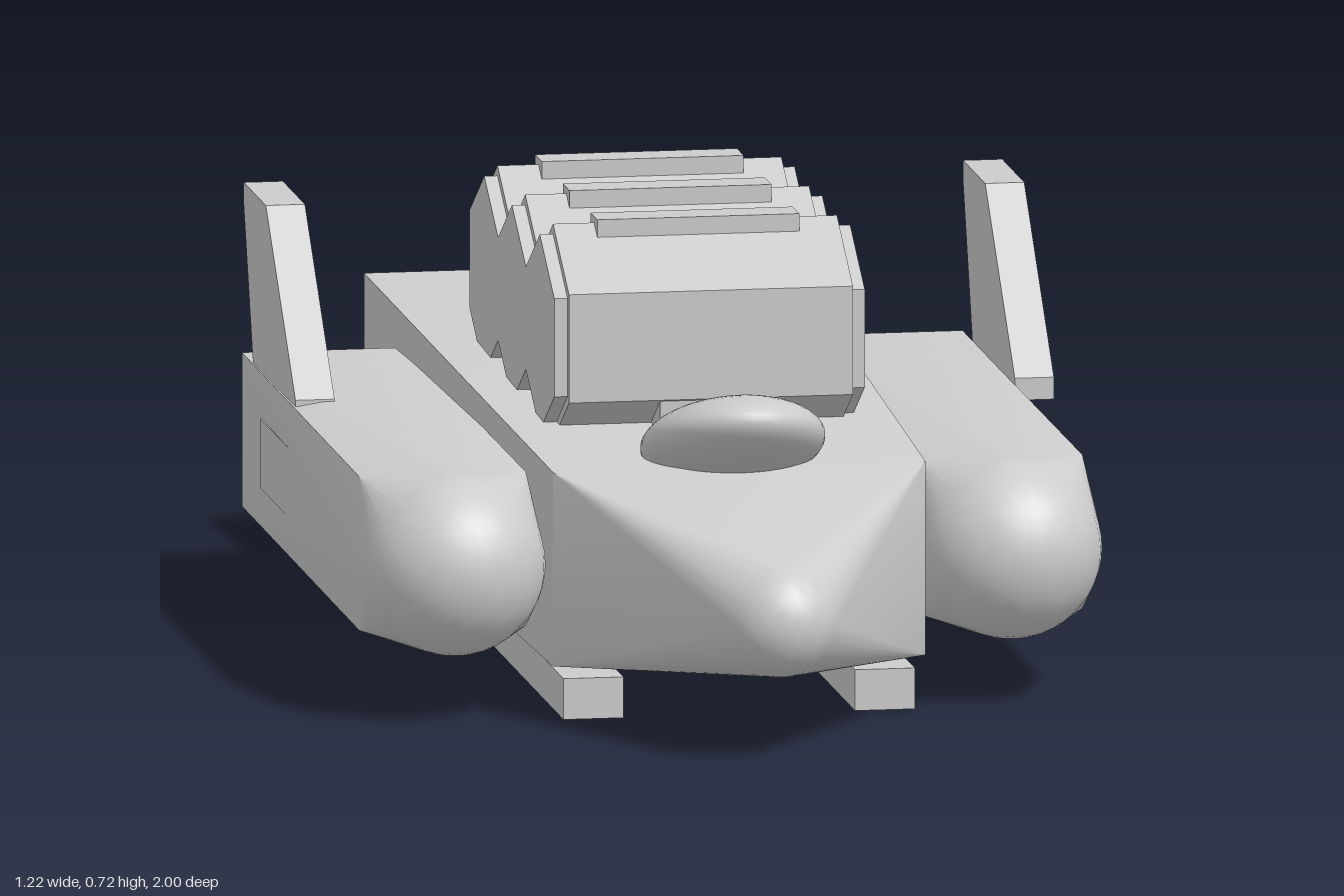
import * as THREE from 'three';
import { toCreasedNormals } from 'three/addons/utils/BufferGeometryUtils.js';
import { ConvexGeometry } from 'three/addons/geometries/ConvexGeometry.js';

const MID = -0.026; // centre line of the hull

export function createModel() {
  const model = new THREE.Group();
  model.name = 'spacecraft';
  const hullGrey = new THREE.MeshStandardMaterial({ color: 0xcccccc });
  hullGrey.name = 'hull grey';

  const add = (name, geometry) => {
    const mesh = new THREE.Mesh(geometry, hullGrey);
    mesh.name = name;
    model.add(mesh);
    return mesh;
  };

  // Box given by its limits on each axis
  const box = (name, [x0, x1], [y0, y1], [z0, z1]) =>
    add(name, new THREE.BoxGeometry(x1 - x0, y1 - y0, z1 - z0)
      .translate((x0 + x1) / 2, (y0 + y1) / 2, (z0 + z1) / 2));

  // Side profile of [z, y] points, extruded from x0 to x1
  const profile = (name, points, x0, x1) => {
    const shape = new THREE.Shape(points.map(([z, y]) => new THREE.Vector2(z, y)));
    const g = new THREE.ExtrudeGeometry(shape, { depth: x1 - x0, bevelEnabled: false });
    return add(name, g.rotateY(-Math.PI / 2).translate(x1, 0, 0));
  };

  // Four corners of an upright rectangle at depth z
  const section = (cx, halfWidth, y0, y1, z) =>
    [[-1, y0], [1, y0], [1, y1], [-1, y1]].map(([s, y]) => new THREE.Vector3(cx + s * halfWidth, y, z));

  // Skin stretched over a ball and some rectangular sections
  const skin = (name, center, radius, corners) => {
    const p = new THREE.SphereGeometry(radius, 36, 24).translate(...center).getAttribute('position');
    const points = [...corners];
    for (let i = 0; i < p.count; i++) points.push(new THREE.Vector3().fromBufferAttribute(p, i));
    return add(name, toCreasedNormals(new ConvexGeometry(points), 0.4));
  };

  // Hull with rounded nose
  skin('hull', [MID, 0.22, 0.91], 0.09, [
    ...section(MID, 0.295, 0.085, 0.393, 0.52),
    ...section(MID, 0.335, 0.085, 0.438, -1),
  ]);

  // Tilted egg-shaped canopy
  const canopy = add('canopy', new THREE.SphereGeometry(1, 40, 28));
  canopy.scale.set(0.143, 0.065, 0.21);
  canopy.rotation.x = -0.35;
  canopy.position.set(MID, 0.422, 0.46);

  for (const [side, s] of [['left', 1], ['right', -1]]) {
    const cx = MID + s * 0.441;

    // Side pods, their exhaust drums and outer panels
    skin(side + 'Pod', [cx, 0.24, 0.456], 0.143, [
      ...section(cx, 0.132, 0.12, 0.364, 0.35),
      ...section(cx, 0.130, 0.12, 0.364, -0.75),
    ]);
    add(side + 'Exhaust', new THREE.CylinderGeometry(0.126, 0.126, 0.2, 40).translate(cx, 0.24, -0.639));
    const outer = cx + s * 0.135;
    box(side + 'PodPanel', [Math.min(cx, outer), Math.max(cx, outer)], [0.185, 0.295], [-0.55, 0.23]);

    // Swept fins
    const fx = 0.006 + s * 0.57;
    profile(side + 'Fin', [
      [-0.265, 0.34], [-0.265, 0.375], [-0.54, 0.635],
      [-0.745, 0.635], [-0.745, 0.6], [-0.65, 0.34],
    ], fx - 0.031, fx + 0.031);

    // Landing skids
    const kx = MID + s * 0.231;
    box(side + 'Skid', [kx - 0.0475, kx + 0.0475], [0, 0.065], [-0.645, 0.52]);
  }

  // Row of three hexagonal cells with side plates and top strips
  const hexagon = (z, radius) => Array.from({ length: 6 }, (_, i) => {
    const a = Math.PI / 6 + (i * Math.PI) / 3;
    return [z + radius * Math.cos(a), 0.54 + radius * Math.sin(a)];
  });
  [0.11, -0.148, -0.405].forEach((z, i) => {
    profile('cell' + (i + 1), hexagon(z, 0.172), MID - 0.225, MID + 0.225);
    profile('cellSidePlates' + (i + 1), hexagon(z, 0.156), MID - 0.246, MID + 0.246);
    box('cellStrip' + (i + 1), [-0.186, 0.134], [0.68, 0.722], [z - 0.031, z + 0.031]);
  });

  // Rail carrying the cells
  box('cellRail', [MID - 0.08, MID + 0.08], [0.39, 0.472], [-0.57, 0.255]);

  return model;
}
